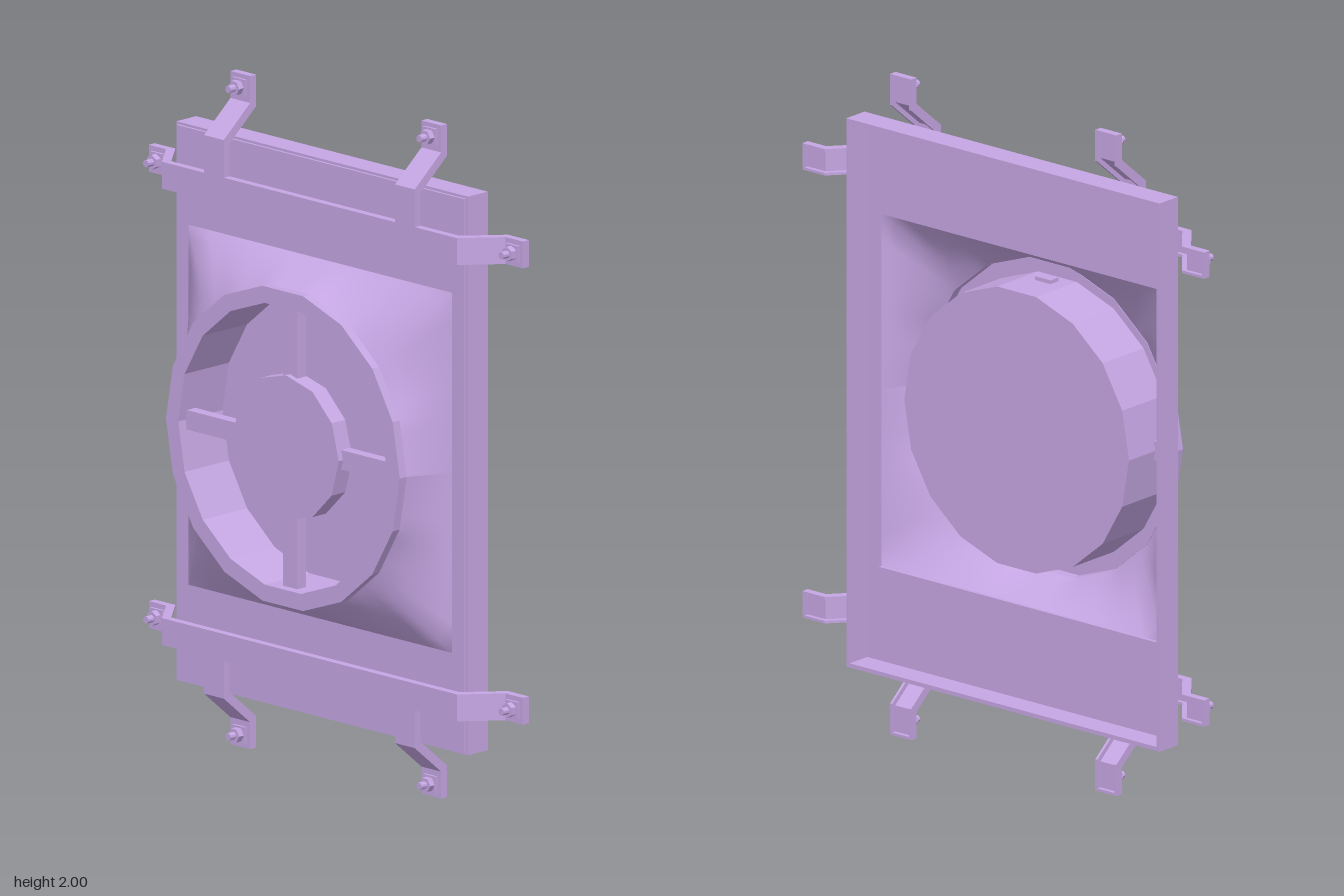
import * as THREE from 'three';

export function createModel() {
  const root = new THREE.Group();
  const model = new THREE.Group(); // built around the fan axis, lifted at the end
  model.name = 'fanPanel';
  model.position.y = 1;
  root.add(model);

  const color = 0xc5a6e3;
  const flat = new THREE.MeshStandardMaterial({ color, flatShading: true, side: THREE.DoubleSide });
  const smooth = new THREE.MeshStandardMaterial({ color, side: THREE.DoubleSide });

  const add = (name, geo, parent = model, mat = flat) => {
    const m = new THREE.Mesh(geo, mat);
    m.name = name;
    parent.add(m);
    return m;
  };
  const rect = (Type, w, h) => {
    const x = w / 2, y = h / 2;
    return new Type([[-x, -y], [x, -y], [x, y], [-x, y]].map(p => new THREE.Vector2(...p)));
  };
  const framed = (w, h, iw, ih, z0, z1) => {
    const s = rect(THREE.Shape, w, h);
    s.holes.push(rect(THREE.Path, iw, ih));
    return new THREE.ExtrudeGeometry(s, { depth: z1 - z0, bevelEnabled: false }).translate(0, 0, z0);
  };

  // Open-backed tray: side walls plus a front plate with a square opening
  const SQ = 0.535;
  add('panelRim', framed(1.185, 1.66, 1.16, 1.635, -0.12, -0.04));
  add('panelPlate', framed(1.17, 1.645, SQ * 2, SQ * 2, -0.043, -0.032));

  // Shroud: square opening blending into the 18-sided ring
  const R = 0.475, SIDES = 18, SEG = 72, ROWS = 6;
  const pos = [], idx = [];
  for (let j = 0; j <= ROWS; j++) {
    const t = j / ROWS;
    for (let i = 0; i <= SEG; i++) {
      const a = i / SEG * Math.PI * 2, c = Math.cos(a), s = Math.sin(a);
      const square = SQ / Math.max(Math.abs(c), Math.abs(s));
      const step = Math.PI * 2 / SIDES;
      const local = (a % step) - step / 2;
      const ring = R * Math.cos(step / 2) / Math.cos(local);
      const r = square + (ring - square) * t;
      pos.push(c * r, s * r, -0.032 + 0.124 * t);
      if (i < SEG && j < ROWS) {
        const p = j * (SEG + 1) + i, q = p + SEG + 1;
        idx.push(p, p + 1, q, p + 1, q + 1, q);
      }
    }
  }
  const shroud = new THREE.BufferGeometry();
  shroud.setAttribute('position', new THREE.Float32BufferAttribute(pos, 3));
  shroud.setIndex(idx);
  shroud.computeVertexNormals();
  add('shroud', shroud, model, smooth);

  // Ring and drum with a closed floor
  const profile = [[0, -0.06], [0.425, -0.06], [0.425, 0.12], [R, 0.12], [R, 0.09]];
  add('ringAndDrum', new THREE.LatheGeometry(profile.map(p => new THREE.Vector2(...p)),
    SIDES, Math.PI / SIDES).rotateX(Math.PI / 2));

  // Hub carried by four spokes
  add('hub', new THREE.CylinderGeometry(0.215, 0.215, 0.055, 12).rotateX(Math.PI / 2).translate(0, 0, 0.08));
  for (let i = 0; i < 4; i++) {
    add('spoke', new THREE.BoxGeometry(0.235, 0.058, 0.035).translate(0.3125, 0, 0.073).rotateZ(i * Math.PI / 2));
  }

  // Bent strip: front path of [u, z] points, thickened backwards, extruded across its width
  const strip = (path, t, w, v) => {
    const last = path.length - 1;
    const back = path.map(([u, z], i) =>
      [i === 0 || i === last ? u : u - Math.sign(u) * t * 0.6, z - t]).reverse();
    const s = new THREE.Shape([...path, ...back].map(p => new THREE.Vector2(...p)));
    return new THREE.ExtrudeGeometry(s, { depth: w, bevelEnabled: false })
      .translate(0, 0, -w / 2).rotateX(Math.PI / 2).translate(0, v, 0);
  };
  // Shallow channel: thin web with two edge lips
  const channel = (name, path, width) => {
    const g = new THREE.Group();
    g.name = name;
    model.add(g);
    add('web', strip(path, 0.011, width, 0), g);
    for (const s of [-1, 1]) add('edgeLip', strip(path, 0.024, 0.008, s * (width / 2 - 0.004)), g);
    return g;
  };
  // End flange details: closing lip, hex nut and threaded stud
  const flange = (g, end, width) => {
    const s = Math.sign(end), u = end - s * 0.038;
    add('endLip', new THREE.BoxGeometry(0.008, width, 0.024).translate(end - s * 0.004, 0, -0.107), g);
    add('washer', new THREE.BoxGeometry(0.05, 0.05, 0.008).translate(u, 0, -0.091), g);
    add('nut', new THREE.CylinderGeometry(0.022, 0.022, 0.02, 6).rotateX(Math.PI / 2).translate(u, 0, -0.078), g);
    add('stud', new THREE.CylinderGeometry(0.011, 0.011, 0.05, 10).rotateX(Math.PI / 2).translate(u, 0, -0.07), g);
  };

  // Cross bars and the mounting tabs that leave them
  const half = [[0.6, 0.012], [0.69, -0.095], [0.76, -0.095]];
  const bar = [...half.map(([u, z]) => [-u, z]).reverse(), ...half];
  const tab = [[0.715, 0.012], [0.83, 0.012], [0.92, -0.095], [1, -0.095]];
  for (const s of [1, -1]) {
    const g = channel(s > 0 ? 'upperBar' : 'lowerBar', bar, 0.08);
    g.position.y = s * 0.678;
    flange(g, 0.76, 0.08);
    flange(g, -0.76, 0.08);
    for (const x of [-0.388, 0.388]) {
      const m = channel('mountingTab', tab, 0.08);
      flange(m, 1, 0.08);
      m.rotation.z = s * Math.PI / 2;
      m.position.x = x;
    }
  }
  return root;
}
